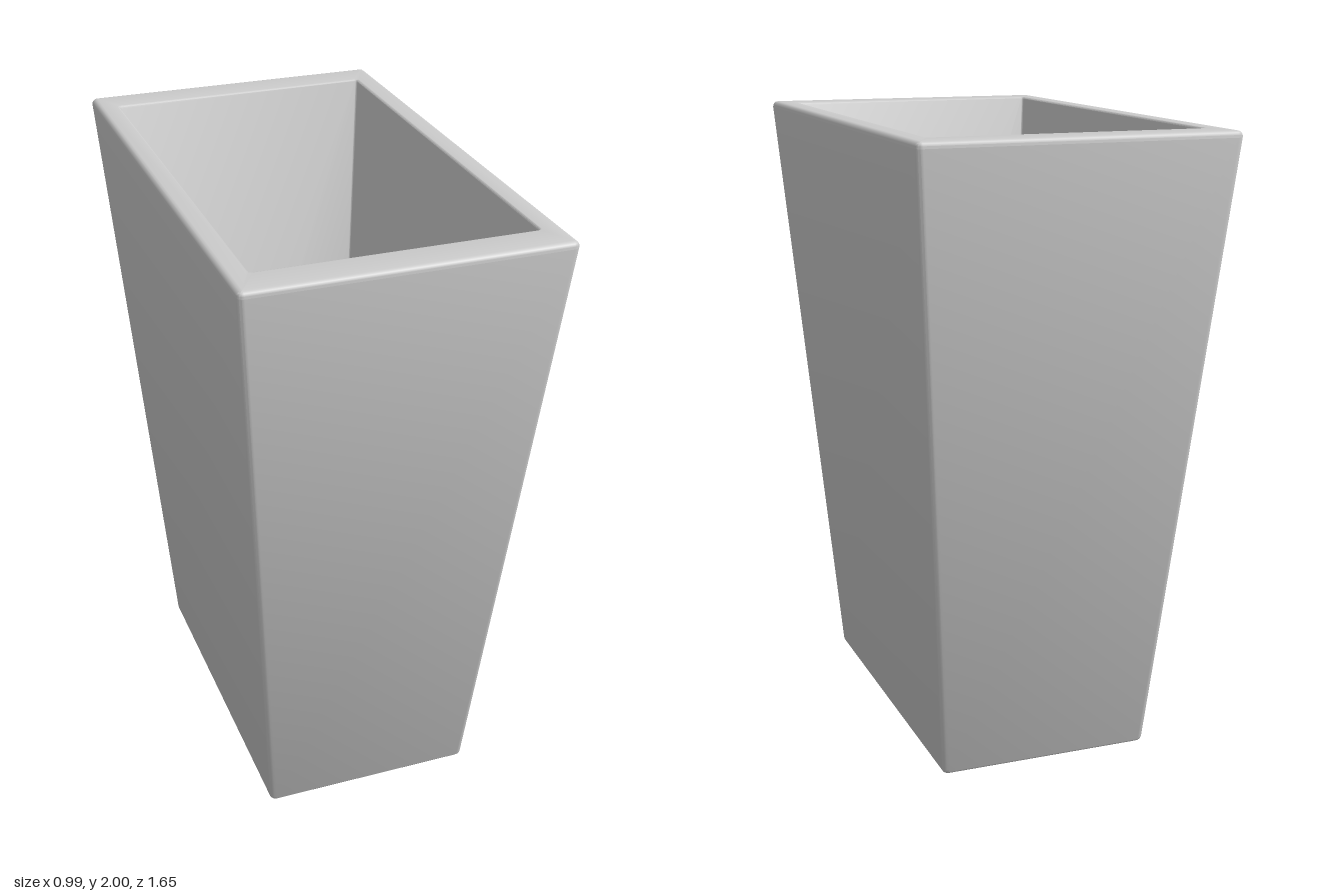
import * as THREE from 'three';
import { toCreasedNormals } from 'three/addons/utils/BufferGeometryUtils.js';

const BEVEL = 0.02, STEPS = 4, HEIGHT = 2, FLOOR = 0.07;

// Half sizes of the tapered outer and inner walls at height y
const outer = y => [0.345 + 0.076 * y, 0.58 + 0.125 * y];
const inner = y => [outer(y)[0] - 0.072, outer(y)[1] - 0.121];

// Rounded rectangle at height y, grown or shrunk by an offset
function ring([hx, hz], y, offset, radius) {
  const r = Math.max(radius, 0.002), points = [];
  const x = hx + offset - r, z = hz + offset - r;
  for (let c = 0; c < 4; c++) {
    const sx = c === 0 || c === 3 ? 1 : -1, sz = c < 2 ? 1 : -1;
    for (let i = 0; i <= STEPS; i++) {
      const a = (c + i / STEPS) * Math.PI / 2;
      points.push(new THREE.Vector3(sx * x + r * Math.cos(a), y, sz * z + r * Math.sin(a)));
    }
  }
  return points;
}

// Skin the rings in order and close both ends with a fan
function skin(rings) {
  const pos = [];
  const tri = (...corners) => corners.forEach(p => pos.push(p.x, p.y, p.z));
  const n = rings[0].length, last = rings[rings.length - 1];
  const start = new THREE.Vector3(0, rings[0][0].y, 0);
  const end = new THREE.Vector3(0, last[0].y, 0);
  for (let j = 0; j < n; j++) {
    const k = (j + 1) % n;
    tri(start, rings[0][j], rings[0][k]);
    for (let i = 0; i < rings.length - 1; i++) {
      const a = rings[i], b = rings[i + 1];
      tri(a[j], b[j], a[k]);
      tri(a[k], b[j], b[k]);
    }
    tri(end, last[k], last[j]);
  }
  const geometry = new THREE.BufferGeometry();
  geometry.setAttribute('position', new THREE.Float32BufferAttribute(pos, 3));
  return toCreasedNormals(geometry, 0.6);
}

export function createModel() {
  const rings = [];
  const arc = add => {
    for (let i = 0; i <= STEPS; i++) {
      const a = i / STEPS * Math.PI / 2;
      add(BEVEL * (1 - Math.sin(a)), BEVEL * (1 - Math.cos(a)));
    }
  };
  // Rounded foot edge, then rounded outer rim edge
  arc((inset, rise) => rings.push(ring(outer(rise), rise, -inset, BEVEL - inset)));
  arc((drop, inset) => rings.push(ring(outer(HEIGHT - drop), HEIGHT - drop, -inset, BEVEL - inset)));
  // Softened inner rim edge, then the cavity wall down to its floor
  const b = 0.4;
  arc((grow, drop) => rings.push(
    ring(inner(HEIGHT - drop * b), HEIGHT - drop * b, grow * b, 0.008 + grow * b)));
  rings.push(ring(inner(FLOOR), FLOOR, 0, 0.004));

  const planter = new THREE.Mesh(skin(rings), new THREE.MeshStandardMaterial({ color: 0xcccccc }));
  planter.name = 'taperedPlanter';
  const group = new THREE.Group();
  group.name = 'planter';
  group.add(planter);
  return group;
}
